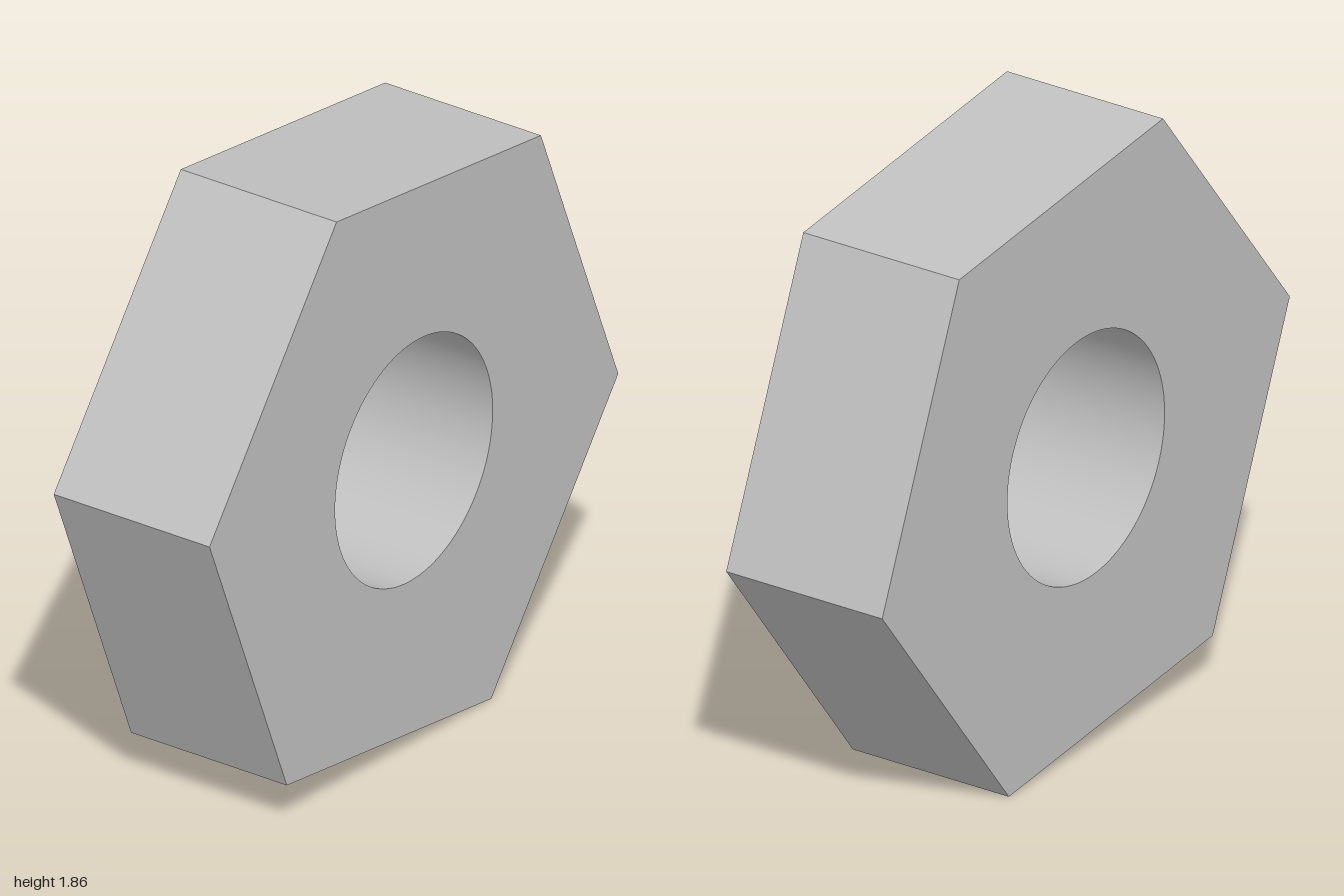
import * as THREE from 'three';
import { toCreasedNormals } from 'three/addons/utils/BufferGeometryUtils.js';

export function createModel() {
  const group = new THREE.Group();
  group.name = 'hexNut';
  const steel = new THREE.MeshStandardMaterial({ color: 0xc0c0c0 });
  steel.name = 'steelGrey';

  const radius = 1.005, holeRadius = 0.384, depth = 0.554;
  const tilt = THREE.MathUtils.degToRad(-8);

  // Hexagonal outline, turned slightly about its own axis
  const outline = new THREE.Shape(Array.from({ length: 6 }, (_, i) => {
    const a = tilt + i * Math.PI / 3;
    return new THREE.Vector2(radius * Math.cos(a), radius * Math.sin(a));
  }));

  // Round bore through the middle
  const bore = new THREE.Path();
  bore.absarc(0, 0, holeRadius, 0, Math.PI * 2, true);
  outline.holes.push(bore);

  // Smooth bore, sharp outer edges
  const extruded = new THREE.ExtrudeGeometry(outline, { depth, bevelEnabled: false, curveSegments: 48 });
  extruded.translate(0, 0, -depth / 2);
  const nut = new THREE.Mesh(toCreasedNormals(extruded, 0.5), steel);
  nut.name = 'nutBody';

  // Stand on the lowest corner, with the axis turned towards +x
  nut.position.y = radius * Math.sin(tilt + 2 * Math.PI / 3);
  nut.rotation.y = Math.PI / 3;
  group.add(nut);
  return group;
}
